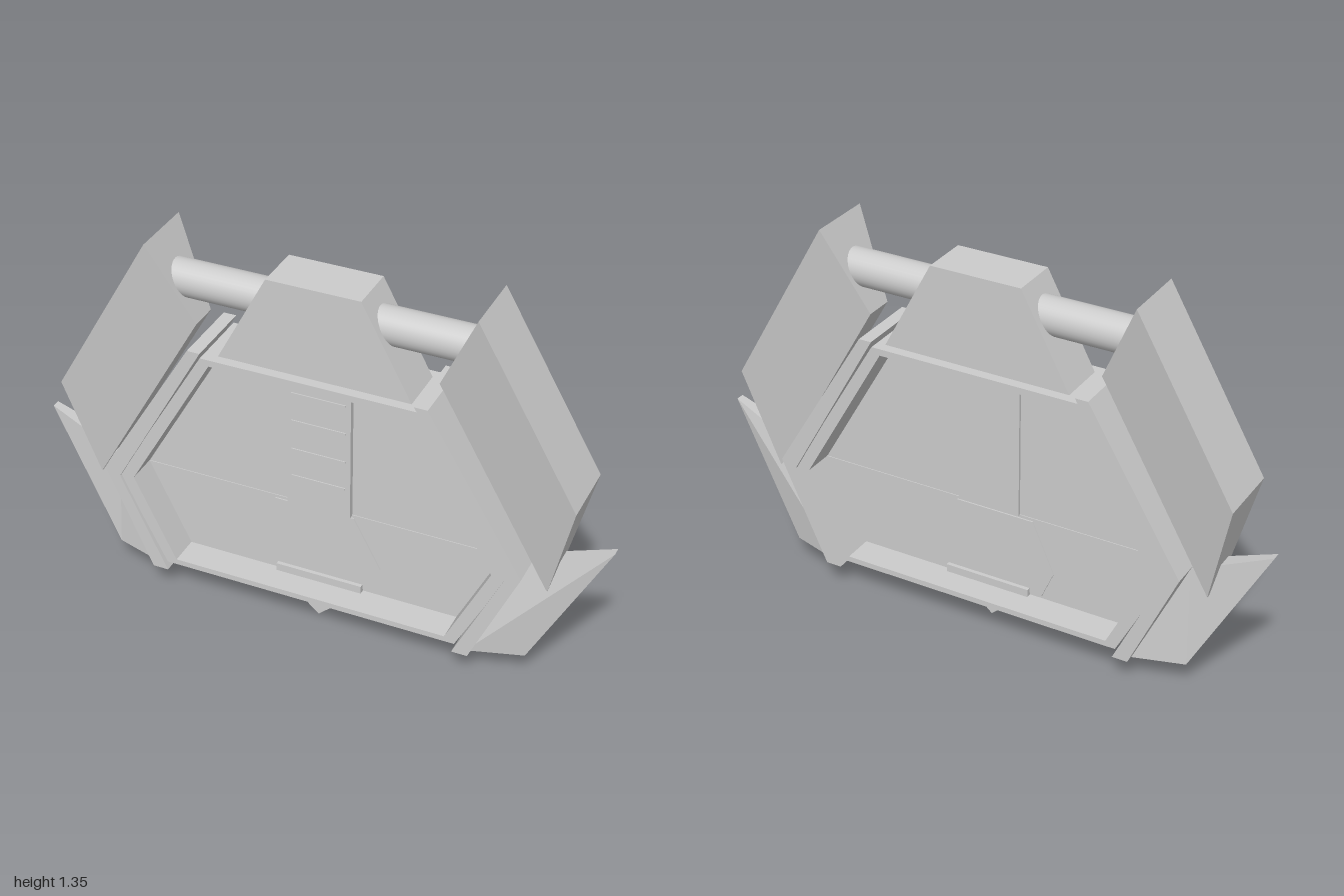
import * as THREE from 'three';

const grey = new THREE.MeshStandardMaterial({ color: 0xcccccc, flatShading: true });
const smooth = new THREE.MeshStandardMaterial({ color: 0xcccccc });
const light = new THREE.MeshStandardMaterial({ color: 0xf2f2f2, flatShading: true });

const vecs = (pts) => pts.map(([x, y]) => new THREE.Vector2(x, y));
// Close a right-hand outline (top to bottom) with its mirror image
const mirrored = (half) => [...half, ...half.map(([x, y]) => [-x, y]).reverse()];

function add(group, name, geometry, material = grey) {
  const mesh = new THREE.Mesh(geometry, material);
  mesh.name = name;
  group.add(mesh);
  return mesh;
}

// Flat outline extruded from z0 to z1; a hole must wind opposite to the outline
function slab(outline, z0, z1, hole) {
  const shape = new THREE.Shape(vecs(outline));
  if (hole) shape.holes.push(new THREE.Path(vecs(hole)));
  const g = new THREE.ExtrudeGeometry(shape, { depth: z1 - z0, bevelEnabled: false });
  return g.translate(0, 0, z0);
}

// Counter-clockwise outline of [x, y, halfDepth]; each corner has its own thickness
function taperedSlab(corners, side) {
  const pts = corners.map(([x, y, d]) => [x * side, y, d]);
  if (side < 0) pts.reverse();
  const n = pts.length, pos = [], idx = [];
  for (const s of [1, -1]) for (const [x, y, d] of pts) pos.push(x, y, s * d);
  for (let i = 1; i < n - 1; i++) idx.push(0, i, i + 1, n, n + i + 1, n + i);
  for (let i = 0; i < n; i++) {
    const j = (i + 1) % n;
    idx.push(i, n + i, n + j, i, n + j, j);
  }
  const g = new THREE.BufferGeometry();
  g.setAttribute('position', new THREE.Float32BufferAttribute(pos, 3));
  g.setIndex(idx);
  const flat = g.toNonIndexed();
  flat.computeVertexNormals();
  return flat;
}

export function createModel() {
  const model = new THREE.Group();
  model.name = 'hexagonalShip';

  // Hexagonal frame, open in the middle
  const opening = mirrored([[0.34, 0.957], [0.638, 0.44], [0.49, 0.14]]).reverse();
  add(model, 'frame', slab(mirrored([[0.37, 0.98], [0.69, 0.44], [0.525, 0.12]]), -0.12, 0.12, opening));

  // Recessed panels, split at mid height
  add(model, 'upperPanel', slab(mirrored([[0.345, 0.965], [0.645, 0.44]]), -0.008, 0.008));
  add(model, 'lowerPanel', slab(mirrored([[0.645, 0.44], [0.495, 0.13]]), -0.011, 0.011));

  // Raised central strip with rungs
  add(model, 'centreStrip', new THREE.BoxGeometry(0.225, 0.525, 0.045).translate(0, 0.7, 0.005));
  for (const y of [0.55, 0.655, 0.765, 0.87]) {
    add(model, 'rung', new THREE.BoxGeometry(0.19, 0.007, 0.008).translate(0, y, 0.0275));
  }

  // Pale six-sided plate and the block at its foot
  const plate = [[-0.163, 0.43], [0.12, 0.43], [0.217, 0.25], [0.168, 0.15], [-0.2, 0.15], [-0.243, 0.25]];
  add(model, 'plate', slab(plate, -0.016, 0.016), light);
  add(model, 'plateFoot', new THREE.BoxGeometry(0.31, 0.03, 0.06).translate(0, 0.153, 0));

  // Top block and cross bar
  add(model, 'topBlock', slab([[-0.152, 1.3], [0.168, 1.3], [0.345, 0.97], [-0.328, 0.97]], -0.085, 0.085));
  const bar = new THREE.CylinderGeometry(0.062, 0.062, 1.02, 32).rotateZ(Math.PI / 2);
  add(model, 'crossBar', bar.translate(0, 1.188, 0), smooth);

  // Pointer under the frame
  add(model, 'keelPoint', slab([[-0.14, 0.125], [0, 0], [0.14, 0.125]], 0.004, 0.028));

  for (const side of [1, -1]) {
    const wing = new THREE.Group();
    wing.name = side > 0 ? 'leftWing' : 'rightWing';
    model.add(wing);

    // Bent rail along the frame
    const rail = [[0.365, 1.003], [0.41, 1.003], [0.74, 0.46], [0.575, 0.094], [0.52, 0.094], [0.685, 0.44]];
    add(wing, 'rail', slab(rail.map(([x, y]) => [x * side, y]), -0.13, 0.13));

    // Lower fin, thin at the tip and thick at the foot
    add(wing, 'lowerFin', taperedSlab([
      [0.56, 0.094, 0.105], [0.745, 0.094, 0.05], [1.0, 0.565, 0.015], [0.735, 0.452, 0.038],
    ], side));

    // Upper pod, wide outside and narrow inside
    add(wing, 'upperPod', taperedSlab([
      [0.415, 1.055, 0.051], [0.803, 0.375, 0.05], [0.895, 0.75, 0.117], [0.553, 1.345, 0.117],
    ], side));
  }
  return model;
}
